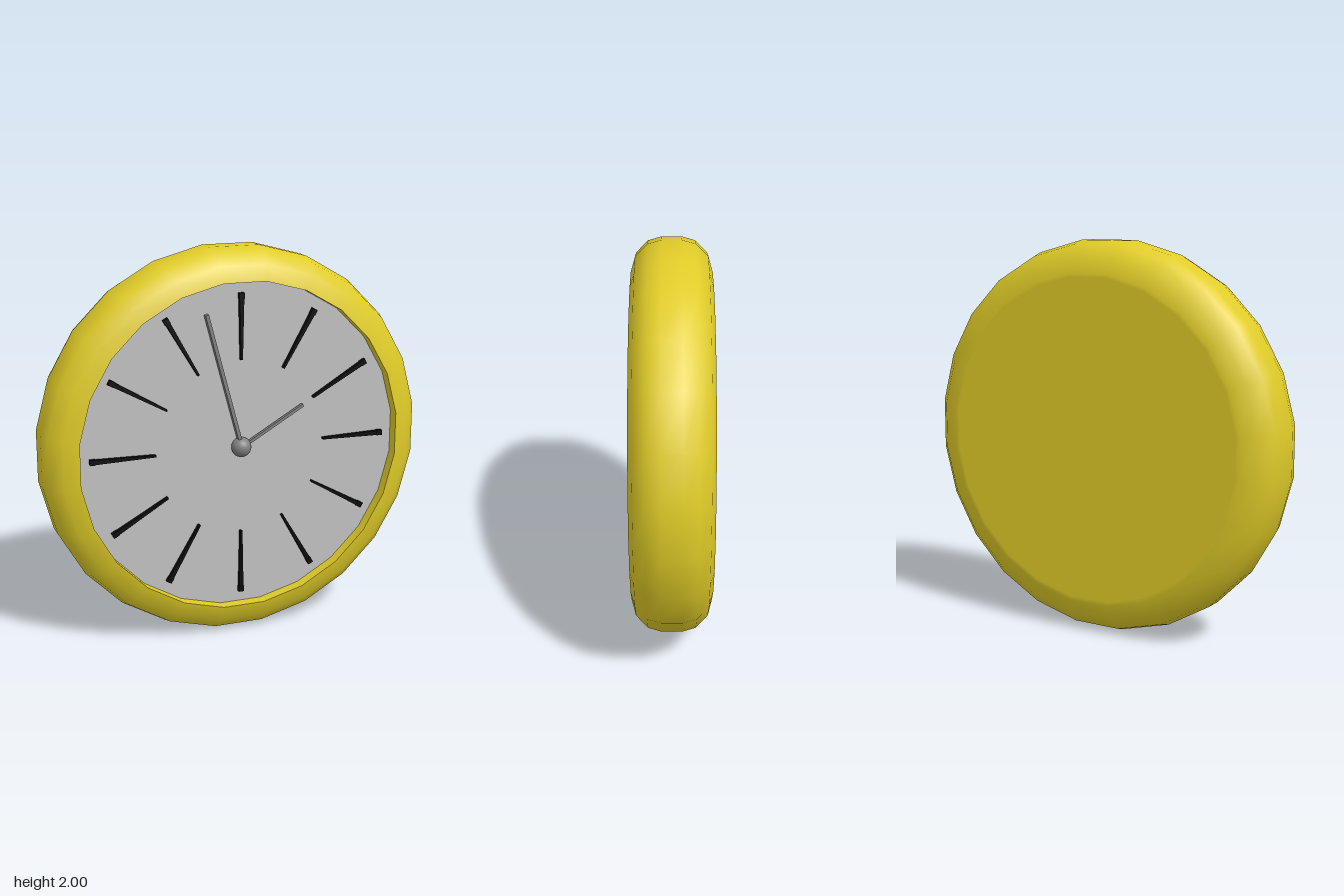
import * as THREE from 'three';

const SIDES = 24;
const HALF = Math.PI / SIDES; // turns the 24-gon so flats face up, down and sideways
const K = 1 / Math.cos(HALF); // flat radius -> corner radius

export function createModel() {
  const yellow = new THREE.MeshStandardMaterial({ color: 0xe0cc28 });
  const dialGrey = new THREE.MeshStandardMaterial({ color: 0xc0c0c0 });
  const handGrey = new THREE.MeshStandardMaterial({ color: 0x808080 });
  const black = new THREE.MeshStandardMaterial({ color: 0x0a0a0a });
  yellow.name = 'caseYellow';
  dialGrey.name = 'dialGrey';
  handGrey.name = 'handGrey';
  black.name = 'markerBlack';

  const clock = new THREE.Group();
  clock.name = 'wallClock';
  clock.position.y = 1;

  const add = (parent, name, geometry, material) => {
    const mesh = new THREE.Mesh(geometry, material);
    mesh.name = name;
    parent.add(mesh);
    return mesh;
  };

  // ring turned around the z axis from [radius, z] pairs
  const turned = (profile) =>
    new THREE.LatheGeometry(
      profile.map(([r, z]) => new THREE.Vector2(r * K, z)), SIDES, HALF
    ).rotateX(Math.PI / 2);

  // flat bar along +y, tapering in width from w0 (at r0) to w1 (at r1)
  const bar = (r0, r1, w0, w1, depth) => {
    const geo = new THREE.BoxGeometry(1, r1 - r0, depth);
    const p = geo.attributes.position;
    for (let i = 0; i < p.count; i++) p.setX(i, p.getX(i) * (p.getY(i) < 0 ? w0 : w1));
    geo.translate(0, (r0 + r1) / 2, 0);
    geo.computeVertexNormals();
    return geo;
  };

  // case: rounded rim, inner wall and closed back
  add(clock, 'caseRim', turned([
    [0.82, -0.202], [0.84, -0.202], [0.92, -0.18], [0.98, -0.12], [1, -0.05],
    [1, 0.05], [0.98, 0.12], [0.92, 0.18], [0.842, 0.202],
  ]), yellow);
  add(clock, 'caseInnerWall', turned([[0.842, 0.202], [0.842, 0.13]]), yellow);
  const back = add(clock, 'caseBack', new THREE.CircleGeometry(0.82 * K, SIDES, HALF), yellow);
  back.rotation.y = Math.PI;
  back.position.z = -0.202;

  // recessed dial
  const dial = add(clock, 'dial', new THREE.CircleGeometry(0.842 * K, SIDES, HALF), dialGrey);
  dial.position.z = 0.14;

  // twelve tapered hour markers with a wider outer end
  for (let i = 0; i < 12; i++) {
    const marker = new THREE.Group();
    marker.name = 'hourMarker' + (i + 1);
    marker.position.z = 0.15;
    marker.rotation.z = -(i + 1) * Math.PI / 6;
    add(marker, 'markerBar', bar(0.45, 0.76, 0.01, 0.023, 0.024), black);
    add(marker, 'markerCap', bar(0.755, 0.785, 0.027, 0.027, 0.026), black);
    clock.add(marker);
  }

  // hands and centre hub
  const minute = add(clock, 'minuteHand', bar(0, 0.713, 0.018, 0.018, 0.028), handGrey);
  minute.position.z = 0.16;
  minute.rotation.z = Math.PI / 12;
  const hour = add(clock, 'hourHand', bar(0, 0.383, 0.015, 0.015, 0.02), handGrey);
  hour.position.z = 0.16;
  hour.rotation.z = -Math.PI / 3;
  const hub = add(clock, 'hub', new THREE.SphereGeometry(0.051, 20, 14), handGrey);
  hub.position.z = 0.155;

  const model = new THREE.Group();
  model.name = 'clock';
  model.add(clock);
  return model;
}
